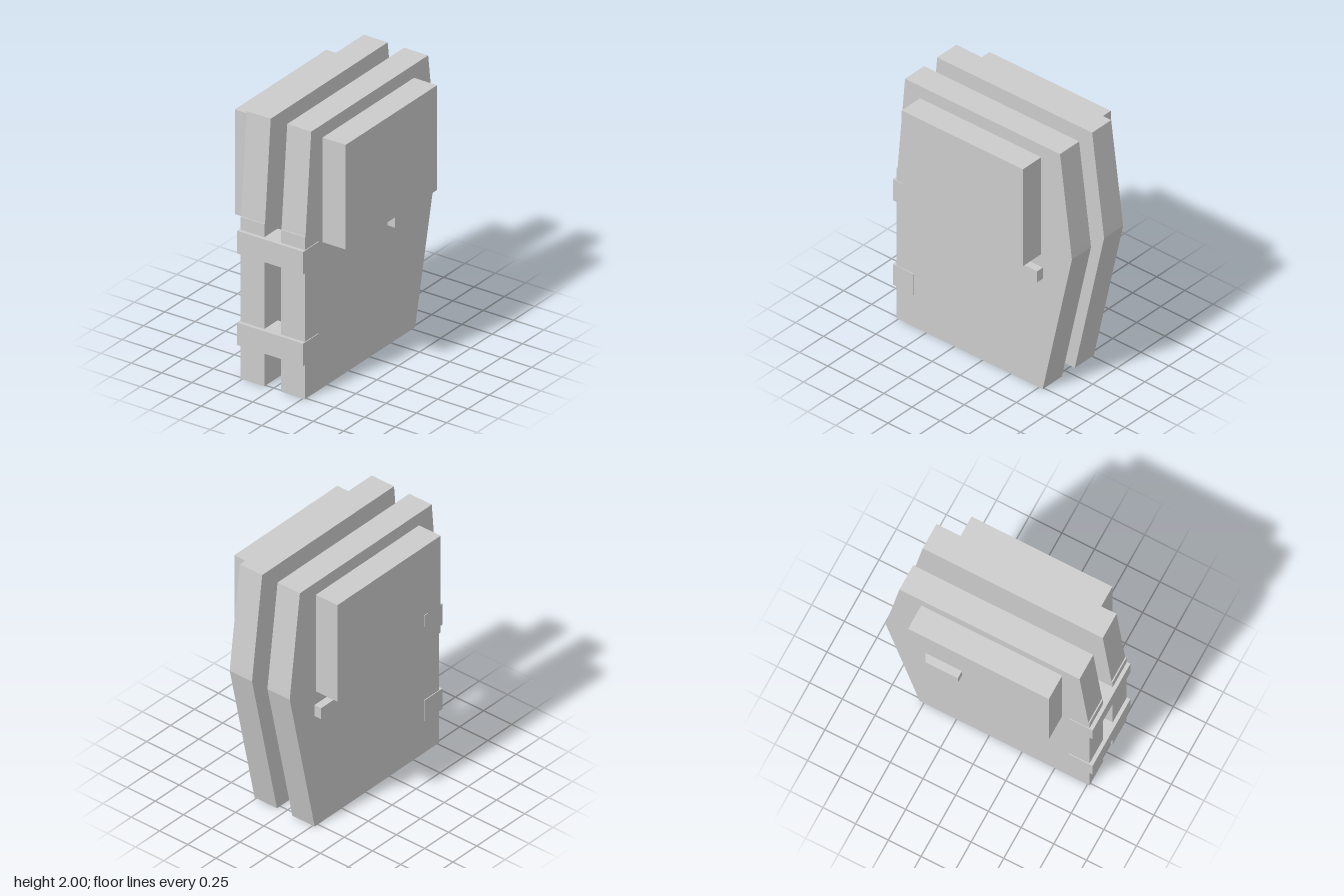
import * as THREE from 'three';

const material = new THREE.MeshStandardMaterial({ color: 0xcccccc, flatShading: true });

// Extrudes a side profile of [z, y] points from x0 to x1, with an optional hole.
function sideSlab(name, points, x0, x1, hole) {
  const toVectors = (list) => list.map(([z, y]) => new THREE.Vector2(-z, y));
  const shape = new THREE.Shape(toVectors(points));
  if (hole) shape.holes.push(new THREE.Path(toVectors(hole)));
  const geometry = new THREE.ExtrudeGeometry(shape, { depth: x1 - x0, bevelEnabled: false });
  geometry.rotateY(Math.PI / 2).translate(x0, 0, 0);
  const mesh = new THREE.Mesh(geometry, material);
  mesh.name = name;
  return mesh;
}

// Box given by its minimum and maximum corners.
function block(name, [x0, y0, z0], [x1, y1, z1]) {
  const mesh = new THREE.Mesh(new THREE.BoxGeometry(x1 - x0, y1 - y0, z1 - z0), material);
  mesh.position.set((x0 + x1) / 2, (y0 + y1) / 2, (z0 + z1) / 2);
  mesh.name = name;
  return mesh;
}

const rect = (z0, y0, z1, y1) => [[z0, y0], [z0, y1], [z1, y1], [z1, y0]];

// One door; side is +1 for left, -1 for right.
function createDoor(side) {
  const door = new THREE.Group();
  door.name = side > 0 ? 'leftDoor' : 'rightDoor';
  const add = (build, name, a, b, ...rest) => door.add(build(name, a, b, ...rest));
  const span = (inner, outer) => (side > 0 ? [inner, outer] : [-outer, -inner]);

  // Door panel: straight lower half, tapered upper half
  const [p0, p1] = span(0.068, 0.266);
  add(sideSlab, 'lowerPanel', [[0.766, 0], [0.766, 1.23], [-0.787, 1.23], [-0.793, 1.18], [-0.533, 0]], p0, p1);
  add(sideSlab, 'upperPanel', [[0.757, 1.23], [0.69, 2], [-0.687, 2], [-0.787, 1.23]], p0, p1);

  // Window frame with a recessed pane
  const [f0, f1] = span(0.26, 0.457);
  add(sideSlab, 'windowFrame', rect(0.557, 1.105, -0.52, 1.9), f0, f1, rect(0.427, 1.24, -0.388, 1.77));
  const [w0, w1] = span(0.25, 0.322);
  add(block, 'windowPane', [w0, 1.235, -0.393], [w1, 1.775, 0.432]);

  // Handle passing through the panel
  const [h0, h1] = span(0.028, 0.325);
  add(block, 'handle', [h0, 0.91, -0.535], [h1, 1, -0.21]);
  return door;
}

export function createModel() {
  const model = new THREE.Group();
  model.name = 'doorPair';
  model.add(createDoor(1), createDoor(-1));

  // Hinge straps joining the two doors
  for (const [name, y0, y1] of [['lowerHinge', 0.265, 0.435], ['upperHinge', 0.96, 1.132]]) {
    model.add(block(name, [-0.272, y0, 0.609], [0.272, y1, 0.793]));
  }
  return model;
}
